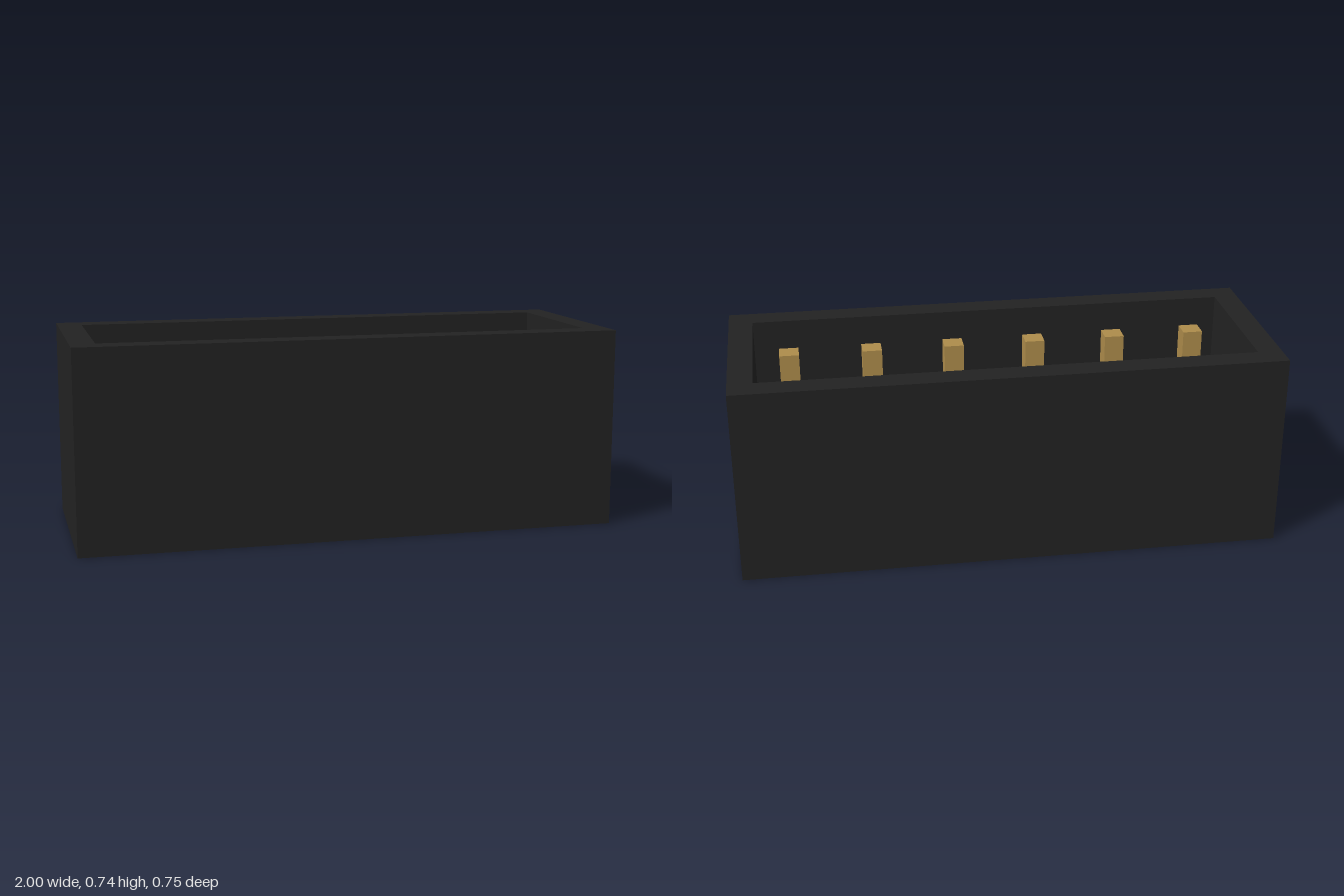
import * as THREE from 'three';

const WIDTH = 2, HEIGHT = 0.738, DEPTH = 0.747;
const CAVITY_W = 1.82, CAVITY_D = 0.562, FLOOR = 0.2;
const PIN = 0.074, PIN_TOP = 0.662, PITCH = 0.312;

// Traces a centred rectangle on a shape or path
function rectangle(path, w, h) {
  path.moveTo(-w / 2, -h / 2);
  path.lineTo(w / 2, -h / 2);
  path.lineTo(w / 2, h / 2);
  path.lineTo(-w / 2, h / 2);
  path.closePath();
  return path;
}

export function createModel() {
  const group = new THREE.Group();
  group.name = 'pinHeader';

  const plastic = new THREE.MeshStandardMaterial({ color: 0x222222 });
  plastic.name = 'blackPlastic';
  const brass = new THREE.MeshStandardMaterial({ color: 0xad8c4b });
  brass.name = 'brass';

  // Shroud: four walls around an open cavity
  const outline = rectangle(new THREE.Shape(), WIDTH, DEPTH);
  outline.holes.push(rectangle(new THREE.Path(), CAVITY_W, CAVITY_D));
  const wallGeometry = new THREE.ExtrudeGeometry(outline, { depth: HEIGHT, bevelEnabled: false });
  wallGeometry.rotateX(-Math.PI / 2);
  const walls = new THREE.Mesh(wallGeometry, plastic);
  walls.name = 'shroudWalls';
  group.add(walls);

  // Floor closing the cavity, flush with the underside
  const floor = new THREE.Mesh(new THREE.BoxGeometry(CAVITY_W, FLOOR, CAVITY_D), plastic);
  floor.name = 'shroudFloor';
  floor.position.y = FLOOR / 2;
  group.add(floor);

  // Two rows of six square pins standing on the floor
  const pins = new THREE.Group();
  pins.name = 'contactPins';
  const pinGeometry = new THREE.BoxGeometry(PIN, PIN_TOP - FLOOR, PIN);
  for (const side of [-1, 1]) {
    for (let i = 0; i < 6; i++) {
      const pin = new THREE.Mesh(pinGeometry, brass);
      pin.name = 'contactPin';
      pin.position.set((i - 2.5) * PITCH, (PIN_TOP + FLOOR) / 2, side * PITCH / 2);
      pins.add(pin);
    }
  }
  group.add(pins);

  return group;
}
